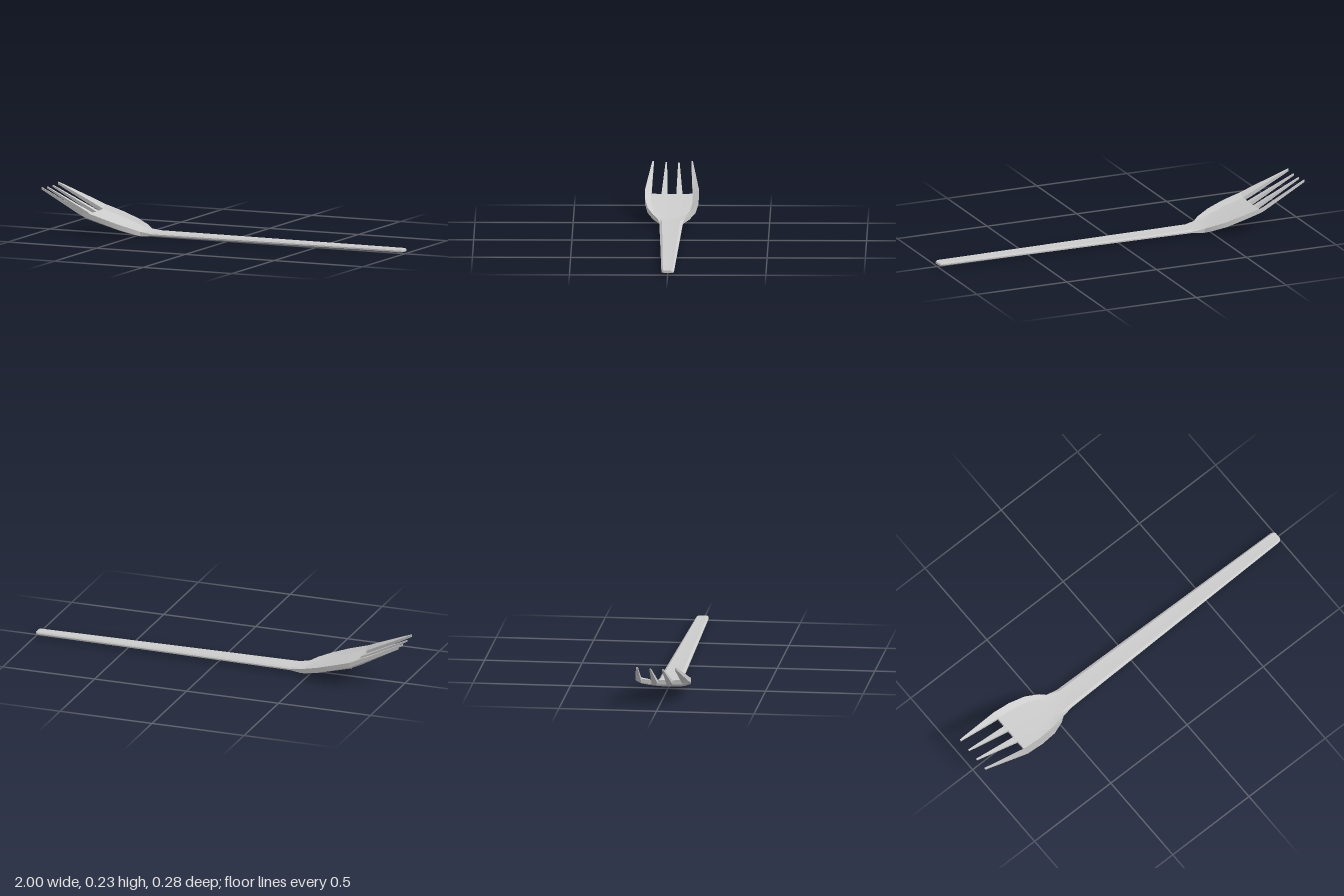
import * as THREE from 'three';
import { toCreasedNormals } from 'three/addons/utils/BufferGeometryUtils.js';

const material = new THREE.MeshStandardMaterial({ color: 0xcccccc });

// Skins a row of sections (ordered towards +x). Each has x and columns of [z, topY, bottomY], z rising.
function loft(name, sections) {
  const pos = [];
  const quad = (a, b, c, d) => pos.push(...a, ...b, ...c, ...a, ...c, ...d);
  const rings = sections.map(({ x, cols }) => [
    ...cols.map(([z, top]) => [x, top, z]),
    ...cols.map(([z, , bottom]) => [x, bottom, z]).reverse(),
  ]);
  const n = rings[0].length;
  for (let i = 0; i < rings.length - 1; i++) {
    for (let j = 0; j < n; j++) {
      const k = (j + 1) % n;
      quad(rings[i][j], rings[i][k], rings[i + 1][k], rings[i + 1][j]);
    }
  }
  // End caps
  const first = rings[0], last = rings[rings.length - 1];
  for (let j = 0; j < n / 2 - 1; j++) {
    quad(first[n - 1 - j], first[n - 2 - j], first[j + 1], first[j]);
    quad(last[j], last[j + 1], last[n - 2 - j], last[n - 1 - j]);
  }
  const geo = new THREE.BufferGeometry();
  geo.setAttribute('position', new THREE.Float32BufferAttribute(pos, 3));
  const mesh = new THREE.Mesh(toCreasedNormals(geo, 0.45), material);
  mesh.name = name;
  return mesh;
}

// Symmetric section: middle heights run across the floor, edge heights apply at the rim
function section([x, halfWidth, midTop, midBottom, edgeTop, edgeBottom]) {
  const cols = [-1, -0.77, -0.4, 0, 0.4, 0.77, 1].map((f) => {
    const a = Math.abs(f);
    if (a === 1) return [f * halfWidth, edgeTop, edgeBottom];
    const rise = (edgeBottom - midBottom) * 0.35 * a * a;
    return [f * halfWidth, midTop + Math.min(rise, 0.003), midBottom + rise];
  });
  return { x, cols };
}

export function createModel() {
  const group = new THREE.Group();
  group.name = 'fork';

  // Dished head, narrowing into the neck
  group.add(loft('head', [
    [-0.75, 0.138, 0.103, 0.080, 0.125, 0.100],
    [-0.65, 0.136, 0.073, 0.054, 0.096, 0.070],
    [-0.56, 0.122, 0.047, 0.028, 0.067, 0.040],
    [-0.49, 0.092, 0.031, 0.009, 0.043, 0.018],
    [-0.46, 0.070, 0.025, 0.000, 0.029, 0.008],
    [-0.40, 0.060, 0.025, 0.007, 0.019, 0.012],
  ].map(section)));

  // Long tapering handle with a clipped end
  group.add(loft('handle', [
    [-0.40, 0.060, 0.025, 0.007, 0.019, 0.012],
    [0.98, 0.032, 0.025, 0.008, 0.019, 0.012],
    [0.993, 0.029, 0.025, 0.009, 0.019, 0.012],
    [1.00, 0.020, 0.023, 0.011, 0.019, 0.013],
  ].map(section)));

  // Two pairs of tines, mirrored across z
  const mirror = (cols, side) =>
    side > 0 ? cols : cols.map(([z, t, b]) => [-z, t, b]).reverse();
  for (const side of [1, -1]) {
    const label = side > 0 ? 'Front' : 'Back';
    group.add(loft('inner' + label + 'Tine', [
      { x: -1, cols: [[0.028, 0.223, 0.214], [0.036, 0.223, 0.214]] },
      { x: -0.75, cols: [[0.022, 0.103, 0.081], [0.054, 0.103, 0.082]] },
    ].map((s) => ({ x: s.x, cols: mirror(s.cols, side) }))));
    group.add(loft('outer' + label + 'Tine', [
      { x: -1, cols: [[0.095, 0.229, 0.217], [0.103, 0.230, 0.218]] },
      { x: -0.8, cols: [[0.103, 0.131, 0.109], [0.131, 0.147, 0.123]] },
      { x: -0.75, cols: [[0.105, 0.105, 0.086], [0.138, 0.125, 0.100]] },
    ].map((s) => ({ x: s.x, cols: mirror(s.cols, side) }))));
  }
  return group;
}
